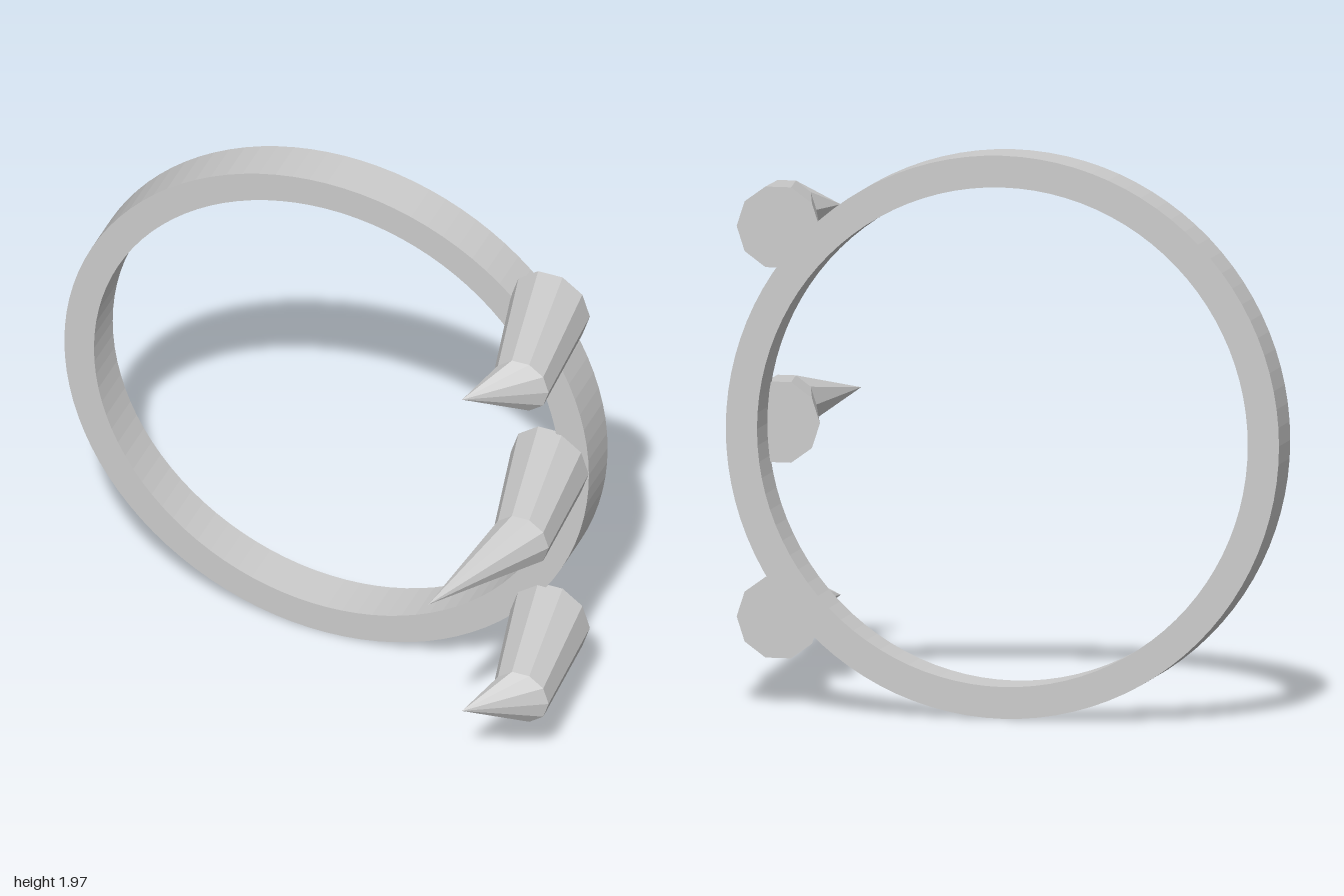
import * as THREE from 'three';

const gray = new THREE.MeshStandardMaterial({ color: 0xcccccc, flatShading: true });
gray.name = 'plain gray';

// Flat hoop with a rectangular section
function ringGeometry(outer, inner, depth) {
  const shape = new THREE.Shape().absarc(0, 0, outer, 0, Math.PI * 2, false);
  shape.holes.push(new THREE.Path().absarc(0, 0, inner, 0, Math.PI * 2, true));
  return new THREE.ExtrudeGeometry(shape, { depth, bevelEnabled: false, curveSegments: 48 });
}

// Ten-sided bent spike: base, elbow and tip sections, pointing along +z
function spikeGeometry(tipZ) {
  const sections = [
    { x: 0.816, z: -0.376, r: 0.148 },
    { x: 0.893, z: 0.075, r: 0.105 },
    { x: 0.737, z: tipZ, r: 0 },
  ];
  const geo = new THREE.CylinderGeometry(1, 1, 2, 10, 2, false, Math.PI / 2);
  const pos = geo.attributes.position;
  for (let i = 0; i < pos.count; i++) {
    const s = sections[Math.round(pos.getY(i)) + 1];
    pos.setXYZ(i, s.x + s.r * pos.getX(i), -s.r * pos.getZ(i), s.z);
  }
  const flat = geo.toNonIndexed();
  flat.computeVertexNormals();
  return flat;
}

export function createModel() {
  const model = new THREE.Group();
  model.name = 'spikedRing';

  const ring = new THREE.Mesh(ringGeometry(0.983, 0.872, 0.168), gray);
  ring.name = 'ring';
  ring.position.set(-0.017, 0.985, -0.53);
  model.add(ring);

  // Three spikes in a column, the middle one longer
  const spikes = [
    ['upperSpike', 1.67, 0.227],
    ['middleSpike', 0.99, 0.53],
    ['lowerSpike', 0.307, 0.227],
  ];
  for (const [name, y, tipZ] of spikes) {
    const spike = new THREE.Mesh(spikeGeometry(tipZ), gray);
    spike.name = name;
    spike.position.y = y;
    model.add(spike);
  }
  return model;
}
